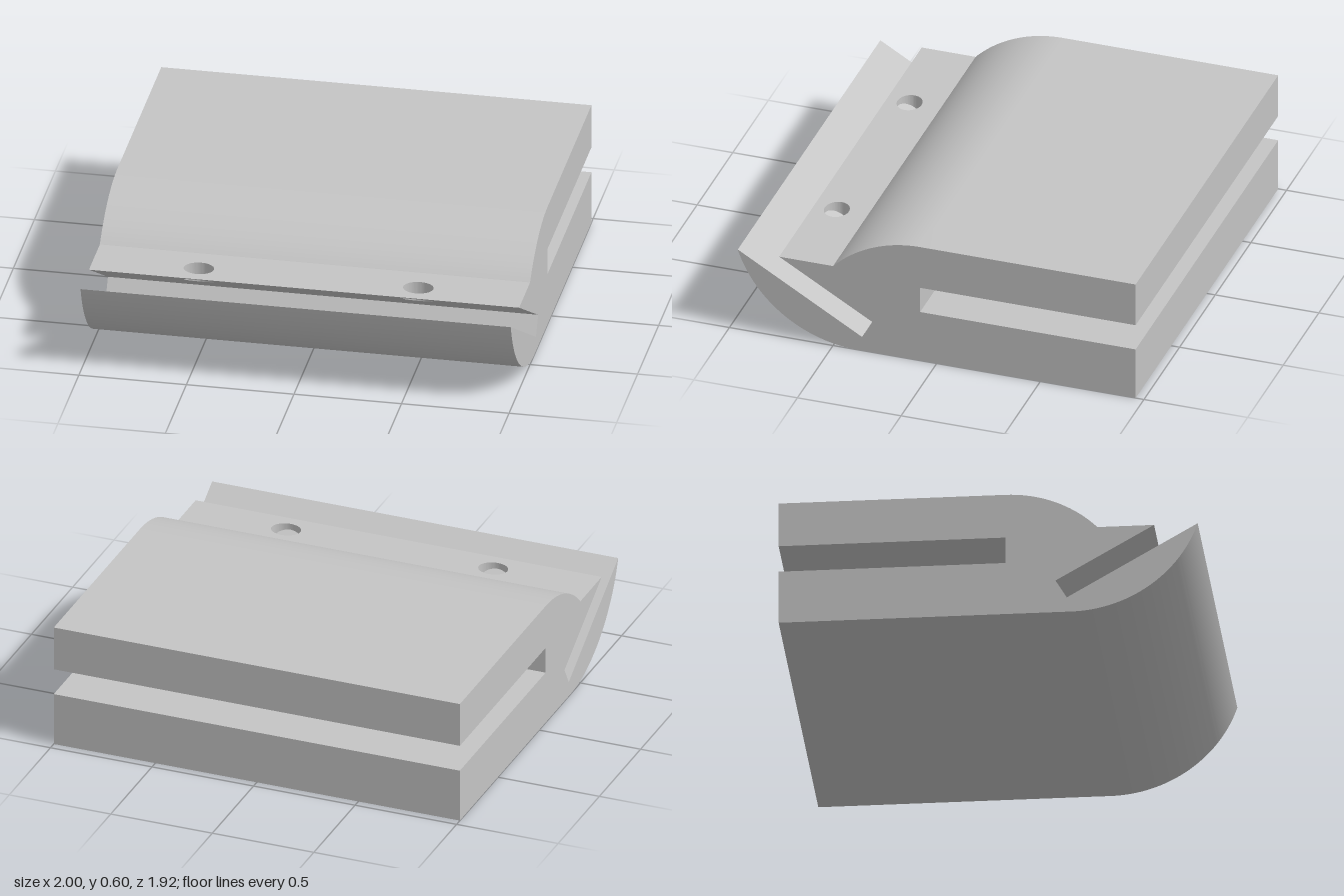
import * as THREE from 'three';
import { toCreasedNormals } from 'three/addons/utils/BufferGeometryUtils.js';

const WIDTH = 2;
const LIP_Y = 0.42, LIP_BACK = 0.5, LIP_TIP = 0.76;
const SLOPE = Math.tan(Math.PI / 6);
const slotRoof = (z) => LIP_Y - (LIP_TIP - z) * SLOPE;

// Side profile in (z, y), without the drilled lip
function bodyProfile() {
  const s = new THREE.Shape();
  s.moveTo(-0.96, 0);
  s.lineTo(0.38, 0);
  // rounded underside of the front jaw: circle tangent to the base
  s.absarc(0.38, 0.61, 0.61, -Math.PI / 2, Math.atan2(LIP_Y - 0.61, 0.58), false);
  // slanted slot
  s.lineTo(0.36, 0.072);
  s.lineTo(0.308, slotRoof(0.308));
  s.lineTo(LIP_BACK, slotRoof(LIP_BACK));
  s.lineTo(LIP_BACK, LIP_Y);
  // rounded shoulder: circle tangent to the top
  s.absarc(0.08, 0.02, 0.58, Math.atan2(0.4, 0.42), Math.PI / 2, false);
  s.lineTo(-0.96, 0.6);
  // flat slot open to the back
  s.lineTo(-0.96, 0.385);
  s.lineTo(0.08, 0.385);
  s.lineTo(0.08, 0.257);
  s.lineTo(-0.96, 0.257);
  s.closePath();
  return s;
}

function bodyGeometry() {
  const g = new THREE.ExtrudeGeometry(bodyProfile(), { depth: WIDTH, bevelEnabled: false, curveSegments: 40 });
  g.translate(0, 0, -WIDTH / 2);
  g.rotateY(-Math.PI / 2);
  return toCreasedNormals(g, 0.5);
}

// Wedge lip with two oval holes; its underside follows the slanted slot
function lipGeometry() {
  const s = new THREE.Shape();
  s.moveTo(-WIDTH / 2, -LIP_TIP);
  s.lineTo(WIDTH / 2, -LIP_TIP);
  s.lineTo(WIDTH / 2, -LIP_BACK);
  s.lineTo(-WIDTH / 2, -LIP_BACK);
  s.closePath();
  for (const x of [-0.51, 0.51]) {
    s.holes.push(new THREE.Path().absellipse(x, -0.65, 0.07, 0.058, 0, Math.PI * 2, true));
  }
  const g = new THREE.ExtrudeGeometry(s, { depth: LIP_Y, bevelEnabled: false, curveSegments: 32 });
  g.rotateX(-Math.PI / 2);
  const p = g.attributes.position;
  for (let i = 0; i < p.count; i++) {
    if (p.getY(i) < LIP_Y / 2) p.setY(i, slotRoof(p.getZ(i)));
  }
  return toCreasedNormals(g, 0.5);
}

export function createModel() {
  const group = new THREE.Group();
  group.name = 'slottedClampProfile';
  const grey = new THREE.MeshStandardMaterial({ color: 0xc4c4c4 });
  grey.name = 'plain grey';

  const body = new THREE.Mesh(bodyGeometry(), grey);
  body.name = 'slottedBody';
  const lip = new THREE.Mesh(lipGeometry(), grey);
  lip.name = 'drilledLip';
  group.add(body, lip);
  return group;
}
